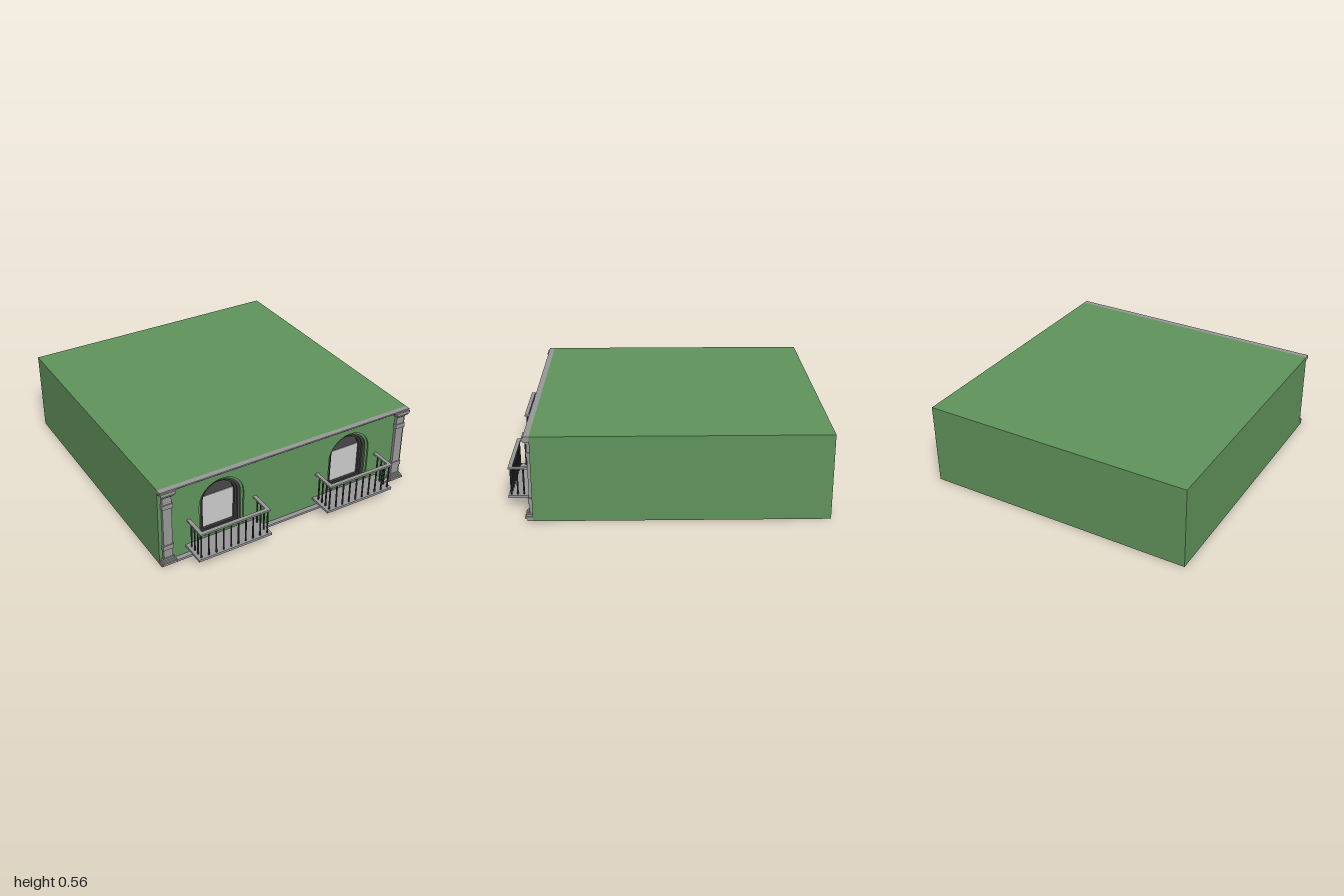
import * as THREE from 'three';

const mat = (color) => new THREE.MeshStandardMaterial({ color });
const GREEN = mat(0x60935b), STONE = mat(0x989898), DARK = mat(0x484848), IRON = mat(0x3a3a3a), PALE = mat(0xcccccc);
const WALL = 0.83, HALF = 0.915, TOP = 0.555, RECESS = 0.765;
const SPRING = 0.325;

// Box given by its min and max corners
function block(parent, name, material, x0, x1, y0, y1, z0, z1) {
  const mesh = new THREE.Mesh(new THREE.BoxGeometry(x1 - x0, y1 - y0, z1 - z0), material);
  mesh.position.set((x0 + x1) / 2, (y0 + y1) / 2, (z0 + z1) / 2);
  mesh.name = name;
  parent.add(mesh);
  return mesh;
}

// Round-headed outline of half-width r
function arch(Type, cx, r, bottom) {
  const s = new Type();
  s.moveTo(cx - r, bottom);
  s.lineTo(cx + r, bottom);
  s.lineTo(cx + r, SPRING);
  s.absarc(cx, SPRING, r, 0, Math.PI, false);
  s.lineTo(cx - r, bottom);
  return s;
}

function extrude(parent, name, material, shape, z0, z1) {
  const geo = new THREE.ExtrudeGeometry(shape, { depth: z1 - z0, bevelEnabled: false, curveSegments: 24 });
  const mesh = new THREE.Mesh(geo, material);
  mesh.position.z = z0;
  mesh.name = name;
  parent.add(mesh);
}

// Stepped reveal, frame, pane and blind
function addWindow(parent, cx) {
  const g = new THREE.Group();
  g.name = 'archedWindow';
  const steps = [
    ['greenReveal', GREEN, 0.157, 0.142, 0.082, 0.09, 0.818],
    ['outerFrame', DARK, 0.142, 0.127, 0.09, 0.102, 0.806],
    ['innerFrame', IRON, 0.127, 0.112, 0.102, 0.115, 0.792],
  ];
  for (const [name, m, r0, r1, b0, b1, z] of steps) {
    const ring = arch(THREE.Shape, cx, r0, b0);
    ring.holes.push(arch(THREE.Path, cx, r1, b1));
    extrude(g, name, m, ring, RECESS, z);
  }
  extrude(g, 'darkPane', DARK, arch(THREE.Shape, cx, 0.113, 0.112), RECESS, 0.77);
  block(g, 'paleBlind', PALE, cx - 0.112, cx + 0.112, 0.115, 0.345, 0.768, 0.774);
  parent.add(g);
}

// Slab, three-sided rail and thin balusters
function addBalcony(parent, cx) {
  const g = new THREE.Group();
  g.name = 'balcony';
  const w = 0.257, rw = 0.245;
  block(g, 'slab', STONE, -w, w, 0.063, 0.079, WALL, 1);
  block(g, 'frontRail', STONE, -rw, rw, 0.252, 0.264, 0.972, 0.998);
  for (const s of [-1, 1]) {
    const x = s * (rw - 0.012);
    block(g, 'sideRail', STONE, x - 0.012, x + 0.012, 0.252, 0.264, WALL, 0.972);
  }
  const bar = new THREE.CylinderGeometry(0.0055, 0.0055, 0.175, 8);
  const addBar = (x, z) => {
    const m = new THREE.Mesh(bar, IRON);
    m.position.set(x, 0.166, z);
    m.name = 'baluster';
    g.add(m);
  };
  const n = 10, edge = rw - 0.012;
  for (let i = 0; i < n; i++) addBar(-edge + (2 * edge * i) / (n - 1), 0.983);
  for (const s of [-1, 1]) for (const z of [0.865, 0.904, 0.943]) addBar(s * edge, z);
  g.position.x = cx;
  parent.add(g);
}

// Flat corner pilaster with stepped base, bands and capital
function addPilaster(parent, side) {
  const g = new THREE.Group();
  g.name = side > 0 ? 'leftPilaster' : 'rightPilaster';
  const layers = [
    ['plinth', 0.05, 0.014, 0.028, 0.876],
    ['baseMoulding', 0.043, 0.028, 0.04, 0.868],
    ['baseCollar', 0.035, 0.04, 0.052, 0.858],
    ['shaft', 0.03, 0.052, 0.5, 0.85],
    ['lowerBand', 0.036, 0.113, 0.145, 0.856],
    ['upperBand', 0.036, 0.415, 0.446, 0.856],
    ['neck', 0.035, 0.5, 0.512, 0.858],
    ['capitalMoulding', 0.043, 0.512, 0.525, 0.868],
    ['capital', 0.05, 0.525, 0.546, 0.876],
  ];
  for (const [name, h, y0, y1, z] of layers) block(g, name, STONE, -h, h, y0, y1, WALL - 0.01, z);
  g.position.x = side * 0.862;
  parent.add(g);
}

export function createModel() {
  const model = new THREE.Group();
  model.name = 'buildingStorey';

  // Main volume and the pierced front wall
  block(model, 'body', GREEN, -HALF, HALF, 0, TOP, -1, RECESS);
  const wall = new THREE.Shape();
  wall.moveTo(-HALF, 0);
  wall.lineTo(HALF, 0);
  wall.lineTo(HALF, TOP);
  wall.lineTo(-HALF, TOP);
  wall.closePath();
  const centres = [-0.48, 0.472];
  for (const cx of centres) wall.holes.push(arch(THREE.Path, cx, 0.157, 0.082));
  extrude(model, 'frontWall', GREEN, wall, RECESS, WALL);
  for (const cx of centres) addWindow(model, cx);

  // Cornice and base strip
  block(model, 'corniceTop', STONE, -HALF, HALF, 0.546, TOP, WALL, 0.866);
  block(model, 'corniceLower', STONE, -HALF, HALF, 0.536, 0.546, WALL, 0.856);
  block(model, 'baseStrip', STONE, -HALF, HALF, 0, 0.014, WALL, 0.862);

  for (const side of [-1, 1]) addPilaster(model, side);
  addBalcony(model, -0.478);
  addBalcony(model, 0.457);
  return model;
}
